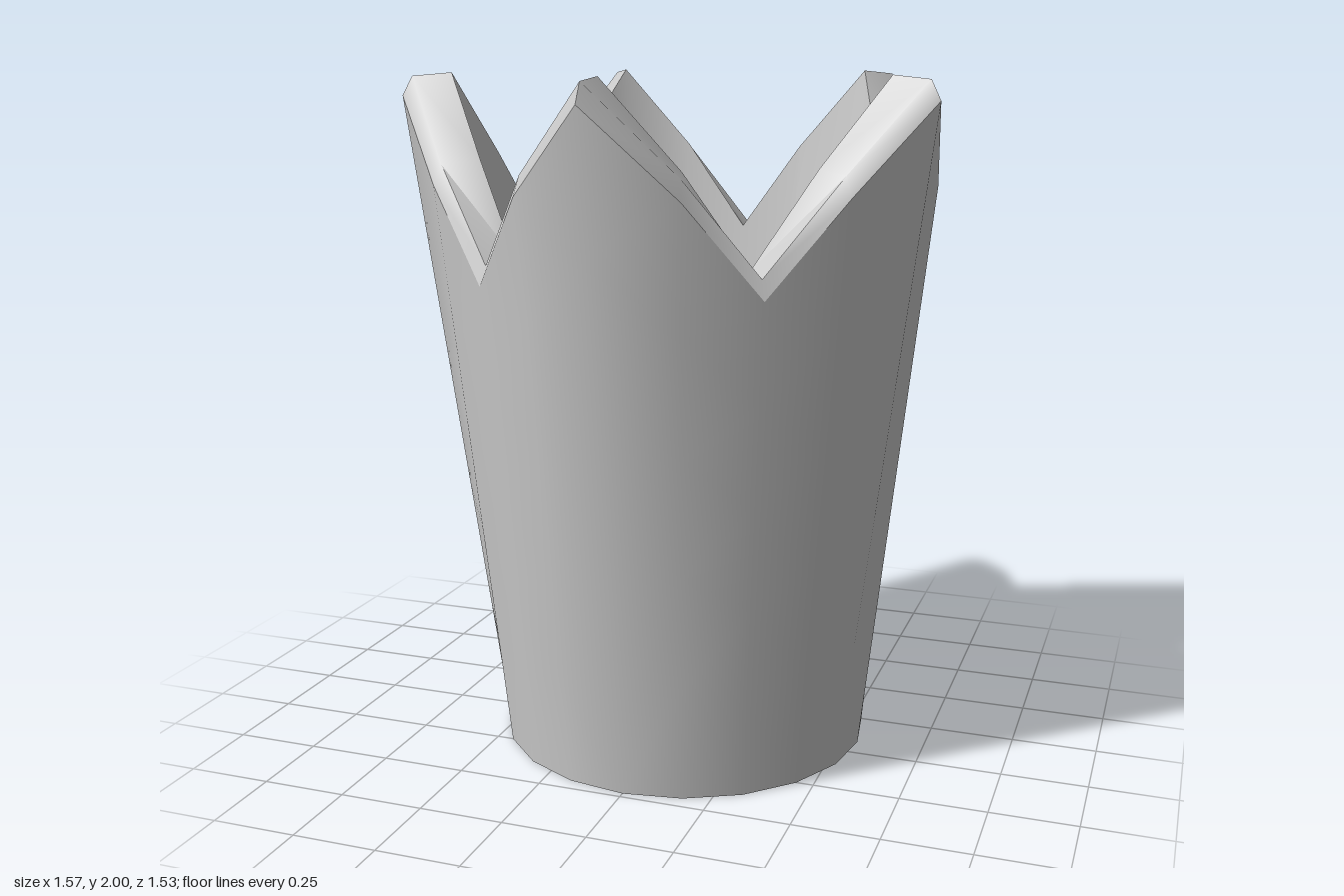
import * as THREE from 'three';
import { toCreasedNormals } from 'three/addons/utils/BufferGeometryUtils.js';

const SIDES = 20;          // four columns for each of the five points
const CENTRE_Z = -0.075;

// One ring; radius and height cycle through tip, flank, valley, flank
function ring(radii, heights) {
  const points = [];
  for (let k = 0; k < SIDES; k++) {
    const m = [0, 1, 2, 1][k % 4];
    const a = (k / SIDES) * Math.PI * 2;
    points.push(new THREE.Vector3(Math.sin(a) * radii[m], heights[m], Math.cos(a) * radii[m] + CENTRE_Z));
  }
  return points;
}

// Straight rings between two end rings
function between(a, b, steps) {
  return Array.from({ length: steps + 1 }, (_, i) => a.map((p, k) => p.clone().lerp(b[k], i / steps)));
}

// Closed band of quads through successive rings
function band(rings) {
  const index = [];
  for (let j = 0; j < rings.length - 1; j++) {
    for (let k = 0; k < SIDES; k++) {
      const n = (k + 1) % SIDES;
      const a = j * SIDES + k, b = j * SIDES + n, c = a + SIDES, d = b + SIDES;
      // mirrored diagonals keep the five points symmetrical
      if (k % 4 < 2) index.push(a, b, d, a, d, c);
      else index.push(a, b, c, b, d, c);
    }
  }
  const geometry = new THREE.BufferGeometry().setFromPoints(rings.flat());
  geometry.setIndex(index);
  geometry.computeVertexNormals();
  return geometry;
}

export function createModel() {
  const group = new THREE.Group();
  group.name = 'crownCup';
  const material = new THREE.MeshStandardMaterial({ color: 0xcccccc });
  const add = (name, geometry) => {
    const mesh = new THREE.Mesh(geometry, material);
    mesh.name = name;
    group.add(mesh);
  };

  // Round foot opening into a five-pointed rim
  const flat = [0, 0, 0];
  const rim = [2, 1.76, 1.5];
  const drop = (d) => rim.map((y) => y - d);
  const footOuter = ring([0.555, 0.555, 0.555], flat);
  const footInner = ring([0.415, 0.415, 0.415], flat);
  const lipOuter = ring([0.825, 0.74, 0.687], drop(0.065));
  const lipShoulder = ring([0.795, 0.715, 0.667], drop(0.01));
  const lipInner = ring([0.68, 0.605, 0.573], rim);

  add('outerWall', band(between(footOuter, lipOuter, 5)));
  add('rimLip', toCreasedNormals(band([lipOuter, lipShoulder, lipInner]), 0.95));
  add('innerWall', band(between(lipInner, footInner, 5)));
  add('bottomRing', band([footInner, footOuter]));
  return group;
}
